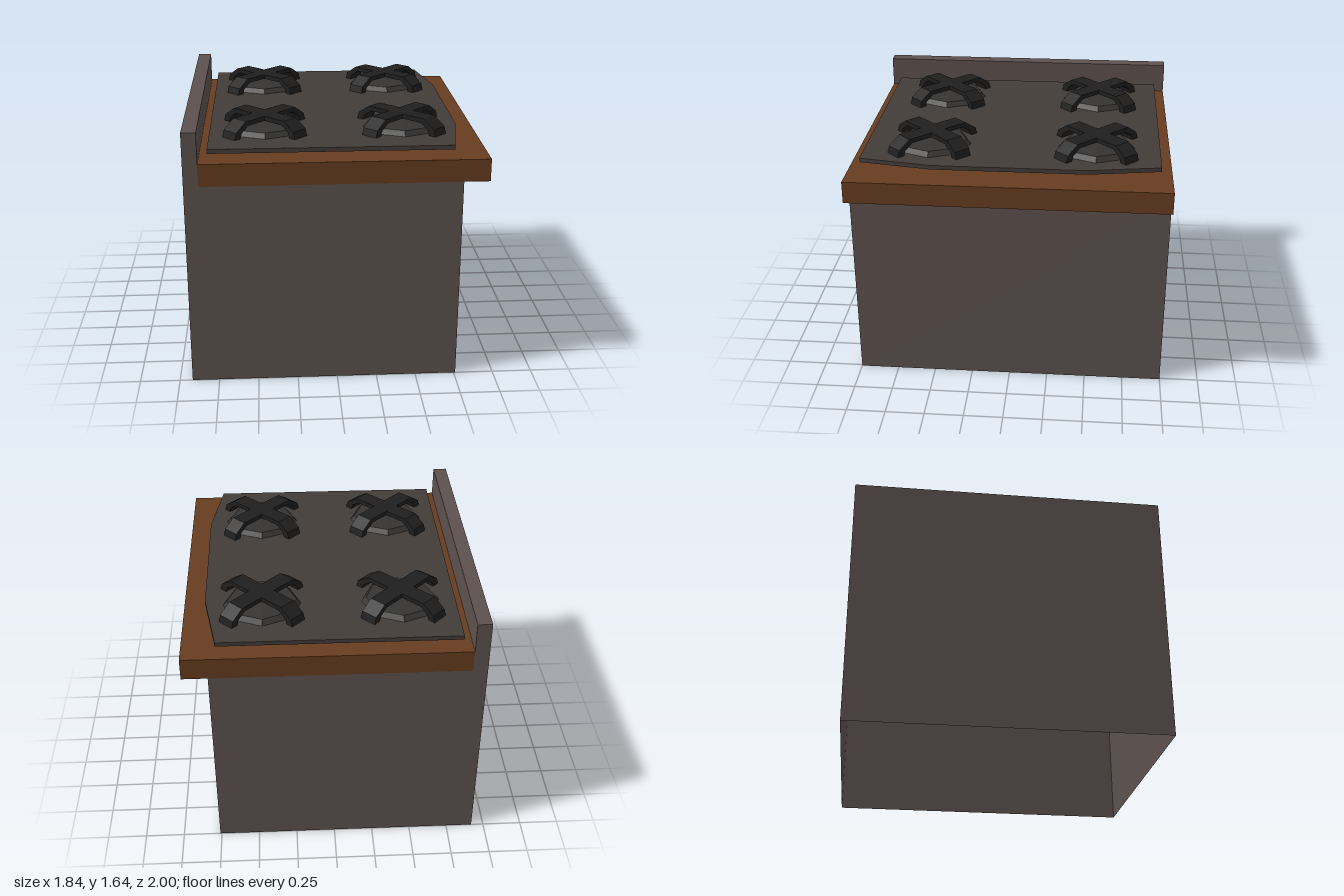
import * as THREE from 'three';

const paint = (color, extra = {}) => new THREE.MeshStandardMaterial({ color, ...extra });

function shapeOf(points) {
  return new THREE.Shape(points.map(([x, y]) => new THREE.Vector2(x, y)));
}

function addMesh(parent, name, geometry, material) {
  const mesh = new THREE.Mesh(geometry, material);
  mesh.name = name;
  parent.add(mesh);
  return mesh;
}

export function createModel() {
  const model = new THREE.Group();
  model.name = 'stove';

  const bodyMat = paint(0x5c514e, { side: THREE.DoubleSide });
  const woodMat = paint(0x663c20);
  const topMat = paint(0x433c39);
  const burnerMat = paint(0x353433, { flatShading: true });
  const grateMat = paint(0x201f20, { flatShading: true });

  // Hollow cabinet, open underneath, with the splash rail rising on one side
  const cabinet = new THREE.Group();
  cabinet.name = 'cabinet';
  model.add(cabinet);
  const side = new THREE.ShapeGeometry(shapeOf([
    [-0.92, 0], [0.76, 0], [0.76, 1.305], [-0.83, 1.305], [-0.83, 1.64], [-0.92, 1.64],
  ]));
  addMesh(cabinet, 'frontWall', side, bodyMat).position.z = 1;
  const back = addMesh(cabinet, 'backWall', side.clone().scale(-1, 1, 1), bodyMat);
  back.geometry.index.array.reverse();
  back.geometry.computeVertexNormals();
  back.rotation.y = Math.PI;
  back.position.z = -1;

  // Upright panels facing +x (dir 1) or -x (dir -1)
  for (const [name, x, y0, y1, dir] of [
    ['leftWall', 0.76, 0, 1.305, 1],
    ['rightWall', -0.92, 0, 1.64, -1],
    ['splashFace', -0.83, 1.305, 1.64, 1],
  ]) {
    const panel = addMesh(cabinet, name, new THREE.PlaneGeometry(2, y1 - y0), bodyMat);
    panel.rotation.y = dir * Math.PI / 2;
    panel.position.set(x, (y0 + y1) / 2, 0);
  }
  const cap = addMesh(cabinet, 'splashTop', new THREE.PlaneGeometry(0.09, 2), bodyMat);
  cap.rotation.x = -Math.PI / 2;
  cap.position.set(-0.875, 1.64, 0);

  // Wooden worktop
  addMesh(model, 'worktop', new THREE.BoxGeometry(1.75, 0.14, 2), woodMat)
    .position.set(0.045, 1.375, 0);

  // Thin hob plate with a bowed edge
  const plate = new THREE.ExtrudeGeometry(shapeOf([
    [-0.775, -0.93], [0.71, -0.93], [0.785, -0.48], [0.785, 0.48], [0.71, 0.93], [-0.775, 0.93],
  ]), { depth: 0.027, bevelEnabled: false });
  plate.rotateX(-Math.PI / 2);
  addMesh(model, 'hobPlate', plate, topMat).position.y = 1.487;

  // Octagonal burner and arched grate bar, shared by all four rings
  const burnerGeo = new THREE.LatheGeometry(
    [[0.245, 1.51], [0.215, 1.545], [0, 1.57]].map(([r, y]) => new THREE.Vector2(r, y)), 8);
  const outer = [[0.32, 1.485], [0.3, 1.558], [0.22, 1.612]];
  const inner = [[0.2, 1.583], [0.255, 1.545], [0.275, 1.485]];
  const mirror = (pts) => pts.map(([x, y]) => [-x, y]).reverse();
  const barGeo = new THREE.ExtrudeGeometry(
    shapeOf([...outer, ...mirror(outer), ...mirror(inner), ...inner]),
    { depth: 0.11, bevelEnabled: false });
  barGeo.translate(0, 0, -0.055);

  for (const x of [-0.43, 0.43]) {
    for (const z of [-0.53, 0.51]) {
      const ring = new THREE.Group();
      ring.name = 'burnerRing';
      ring.position.set(x, 0, z);
      addMesh(ring, 'burner', burnerGeo, burnerMat);
      for (const turn of [-1, 1]) {
        addMesh(ring, 'grateBar', barGeo, grateMat).rotation.y = turn * Math.PI / 4;
      }
      model.add(ring);
    }
  }
  return model;
}
